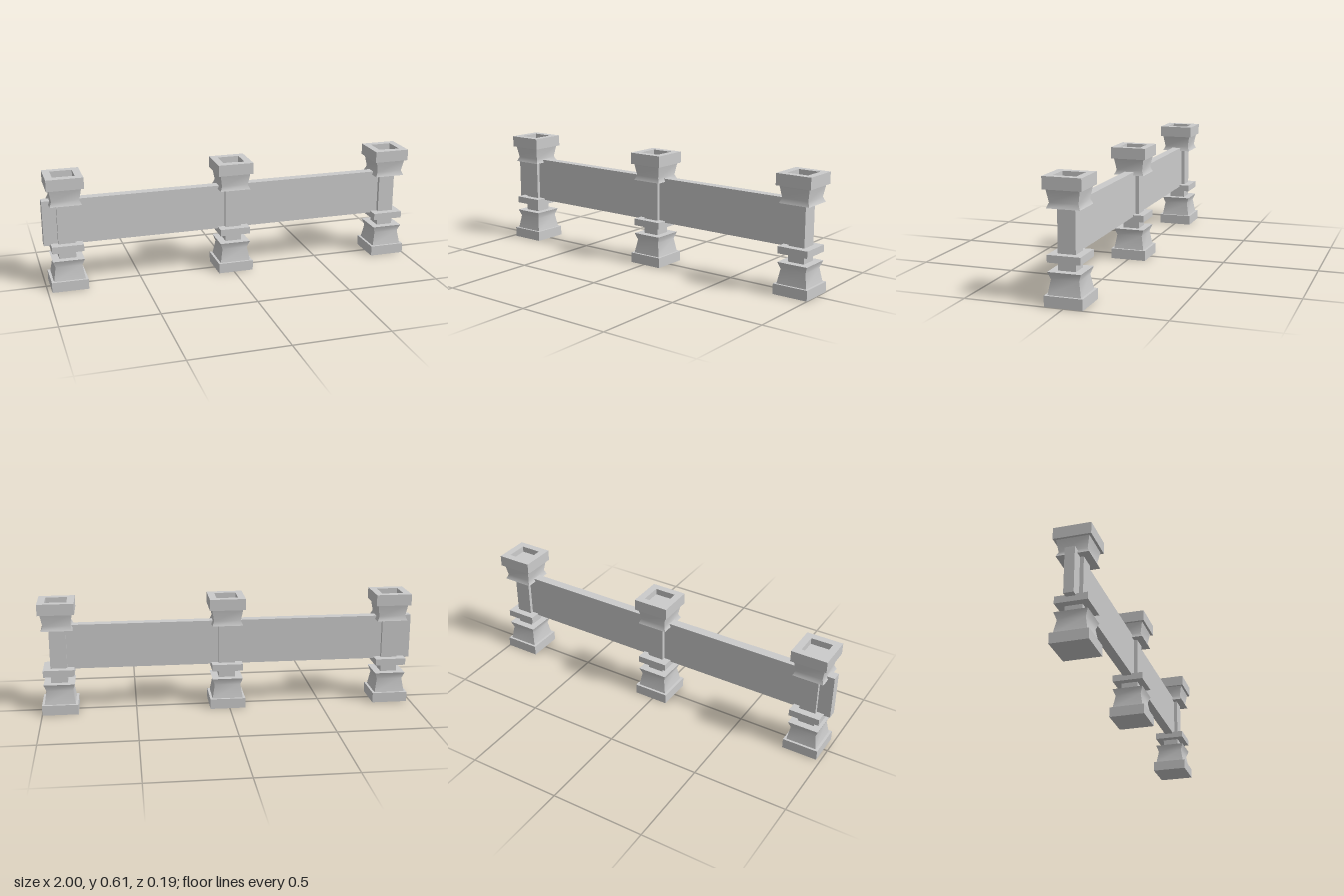
import * as THREE from 'three';
import { mergeGeometries } from 'three/addons/utils/BufferGeometryUtils.js';

const material = new THREE.MeshStandardMaterial({ color: 0xcccccc });

function add(parent, name, geometry) {
  const mesh = new THREE.Mesh(geometry, material);
  mesh.name = name;
  parent.add(mesh);
  return mesh;
}

// Square block of half width h between two heights
function block(h, y0, y1) {
  return new THREE.BoxGeometry(2 * h, y1 - y0, 2 * h).translate(0, (y0 + y1) / 2, 0);
}

// Square moulding from [half width, height] rows, shaded smoothly up each side
function moulding(rows) {
  const positions = [], uvs = [], index = [];
  rows.forEach(([h, y], i) => {
    positions.push(-h, y, h, h, y, h);
    uvs.push(0, y, 1, y);
    if (i < rows.length - 1) {
      const a = 2 * i;
      index.push(a, a + 1, a + 3, a, a + 3, a + 2);
    }
  });
  const side = new THREE.BufferGeometry();
  side.setAttribute('position', new THREE.Float32BufferAttribute(positions, 3));
  side.setAttribute('uv', new THREE.Float32BufferAttribute(uvs, 2));
  side.setIndex(index);
  side.computeVertexNormals();
  const parts = [0, 1, 2, 3].map(k => side.clone().rotateY(k * Math.PI / 2));
  const [hb, yb] = rows[0], [ht, yt] = rows[rows.length - 1];
  parts.push(new THREE.PlaneGeometry(2 * hb, 2 * hb).rotateX(Math.PI / 2).translate(0, yb, 0));
  parts.push(new THREE.PlaneGeometry(2 * ht, 2 * ht).rotateX(-Math.PI / 2).translate(0, yt, 0));
  return mergeGeometries(parts);
}

// Square ring, open in the middle
function squareRing(outer, inner, y0, y1) {
  const square = (P, h) => {
    const p = new P();
    p.moveTo(-h, -h);
    p.lineTo(h, -h);
    p.lineTo(h, h);
    p.lineTo(-h, h);
    p.closePath();
    return p;
  };
  const shape = square(THREE.Shape, outer);
  shape.holes.push(square(THREE.Path, inner));
  return new THREE.ExtrudeGeometry(shape, { depth: y1 - y0, bevelEnabled: false })
    .rotateX(-Math.PI / 2).translate(0, y0, 0);
}

function createPost() {
  const post = new THREE.Group();
  add(post, 'plinth', block(0.095, 0, 0.054));
  add(post, 'baseMoulding', moulding([[0.082, 0.054], [0.069, 0.127], [0.082, 0.163]]));
  add(post, 'shaft', block(0.044, 0.16, 0.46));
  add(post, 'collar', block(0.082, 0.207, 0.243));
  add(post, 'topMoulding', moulding([[0.082, 0.457], [0.071, 0.482], [0.082, 0.545]]));
  // Cap with a sunken square on top
  add(post, 'capFloor', block(0.095, 0.545, 0.572));
  add(post, 'capRim', squareRing(0.095, 0.057, 0.572, 0.605));
  return post;
}

export function createModel() {
  const model = new THREE.Group();
  model.name = 'fence';
  ['rightPost', 'middlePost', 'leftPost'].forEach((name, i) => {
    const post = createPost();
    post.name = name;
    post.position.x = -0.884 + i * 0.894;
    model.add(post);
  });
  // Long panel running through all posts, overhanging at the right end
  const panel = add(model, 'panel', new THREE.BoxGeometry(1.945, 0.24, 0.05));
  panel.position.set(-0.0275, 0.354, 0);
  return model;
}
